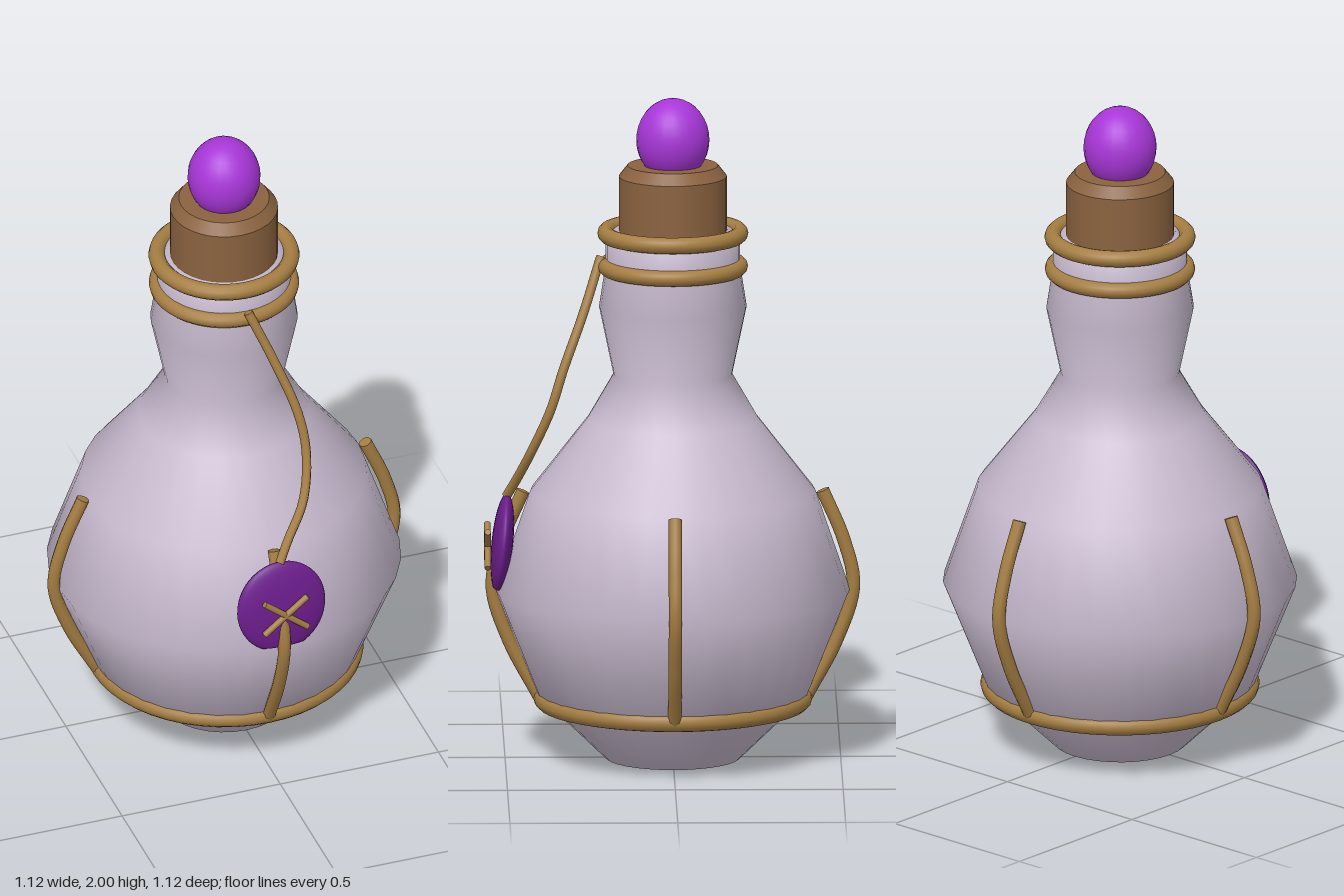
import * as THREE from 'three';

const V = (x, y, z) => new THREE.Vector3(x, y, z);
const mat = (name, color, side = THREE.FrontSide) => {
  const m = new THREE.MeshStandardMaterial({ color, side });
  m.name = name;
  return m;
};

export function createModel() {
  const glass = mat('lilac glass', 0xc8bbcf, THREE.DoubleSide);
  const rope = mat('golden cord', 0xa57e42);
  const corkMat = mat('cork brown', 0x8a623f);
  const gemMat = mat('bright violet', 0xa836d8);
  const sealMat = mat('deep purple', 0x6c1d8c);

  const root = new THREE.Group();
  root.name = 'potionBottle';
  const add = (name, geometry, material, parent = root) => {
    const mesh = new THREE.Mesh(geometry, material);
    mesh.name = name;
    parent.add(mesh);
    return mesh;
  };
  const lathe = (pts, seg) => new THREE.LatheGeometry(pts.map(([x, y]) => new THREE.Vector2(x, y)), seg);

  // Tube along a smooth path, closed by a disc at each end
  const cord = (name, points, radius, parent = root) => {
    const group = new THREE.Group();
    group.name = name;
    const curve = new THREE.CatmullRomCurve3(points);
    add(name + 'Strand', new THREE.TubeGeometry(curve, 28, radius, 8), rope, group);
    for (const t of [0, 1]) {
      const cap = add(name + 'End', new THREE.CircleGeometry(radius, 8), rope, group);
      const p = curve.getPointAt(t);
      cap.position.copy(p);
      cap.lookAt(p.clone().addScaledVector(curve.getTangentAt(t), t ? 1 : -1));
    }
    parent.add(group);
    return group;
  };

  // Glass body; the base is separate so its edge stays sharp
  add('bottle', lathe([[0.2, 0], [0.405, 0.2], [0.528, 0.51], [0.425, 0.81], [0.255, 1.03],
    [0.177, 1.165], [0.22, 1.37], [0.2, 1.5], [0.2, 1.6], [0.15, 1.6]], 32), glass);
  const base = add('bottleBase', new THREE.CircleGeometry(0.2, 32), glass);
  base.rotation.x = Math.PI / 2;

  // Cork: side, bevel and top
  add('corkSide', lathe([[0.161, 1.5], [0.161, 1.765]], 32), corkMat);
  add('corkBevel', lathe([[0.161, 1.765], [0.135, 1.798]], 32), corkMat);
  const corkTop = add('corkTop', new THREE.CircleGeometry(0.135, 32), corkMat);
  corkTop.rotation.x = -Math.PI / 2;
  corkTop.position.y = 1.798;

  // Gem on the cork
  const gem = add('gem', new THREE.SphereGeometry(1, 24, 18), gemMat);
  gem.scale.set(0.109, 0.125, 0.109);
  gem.position.y = 1.875;

  // Cord rings around the neck and the lower body
  for (const [name, y, r, tube] of [['upperNeckRing', 1.592, 0.2, 0.025],
    ['lowerNeckRing', 1.492, 0.2, 0.024], ['bodyRing', 0.182, 0.387, 0.029]]) {
    const ring = add(name, new THREE.TorusGeometry(r, tube, 12, 48), rope);
    ring.rotation.x = Math.PI / 2;
    ring.position.y = y;
  }

  // Four bowed cords rising from the body ring
  for (let i = 0; i < 4; i++) {
    const rib = cord('sideCord', [V(0, 0.18, 0.395), V(0, 0.36, 0.49), V(0, 0.52, 0.538),
      V(0, 0.66, 0.509), V(0, 0.81, 0.446)], 0.02);
    rib.rotation.y = i * Math.PI / 2;
  }

  // Hanging cord from the neck to the seal
  cord('hangingCord', [V(0, 1.52, 0.215), V(0.065, 1.36, 0.268), V(0.118, 1.2, 0.328),
    V(0.13, 1.08, 0.366), V(0.1, 0.95, 0.422), V(0.035, 0.85, 0.467), V(0, 0.795, 0.495)], 0.014);

  // Seal: flattened ball with its lower edge cut level
  const sealGeo = new THREE.SphereGeometry(1, 32, 24);
  const pos = sealGeo.attributes.position;
  for (let i = 0; i < pos.count; i++) pos.setY(i, Math.max(pos.getY(i), -0.88));
  sealGeo.computeVertexNormals();
  const seal = add('seal', sealGeo, sealMat);
  seal.scale.set(0.139, 0.15, 0.032);
  seal.position.set(0, 0.65, 0.508);
  seal.rotation.x = -0.1;

  // Crossed stitches on the seal
  for (const s of [-1, 1]) {
    cord('stitch', [V(-0.068 * s, 0.588, 0.552), V(0, 0.643, 0.552), V(0.068 * s, 0.698, 0.552)], 0.01);
  }
  return root;
}
